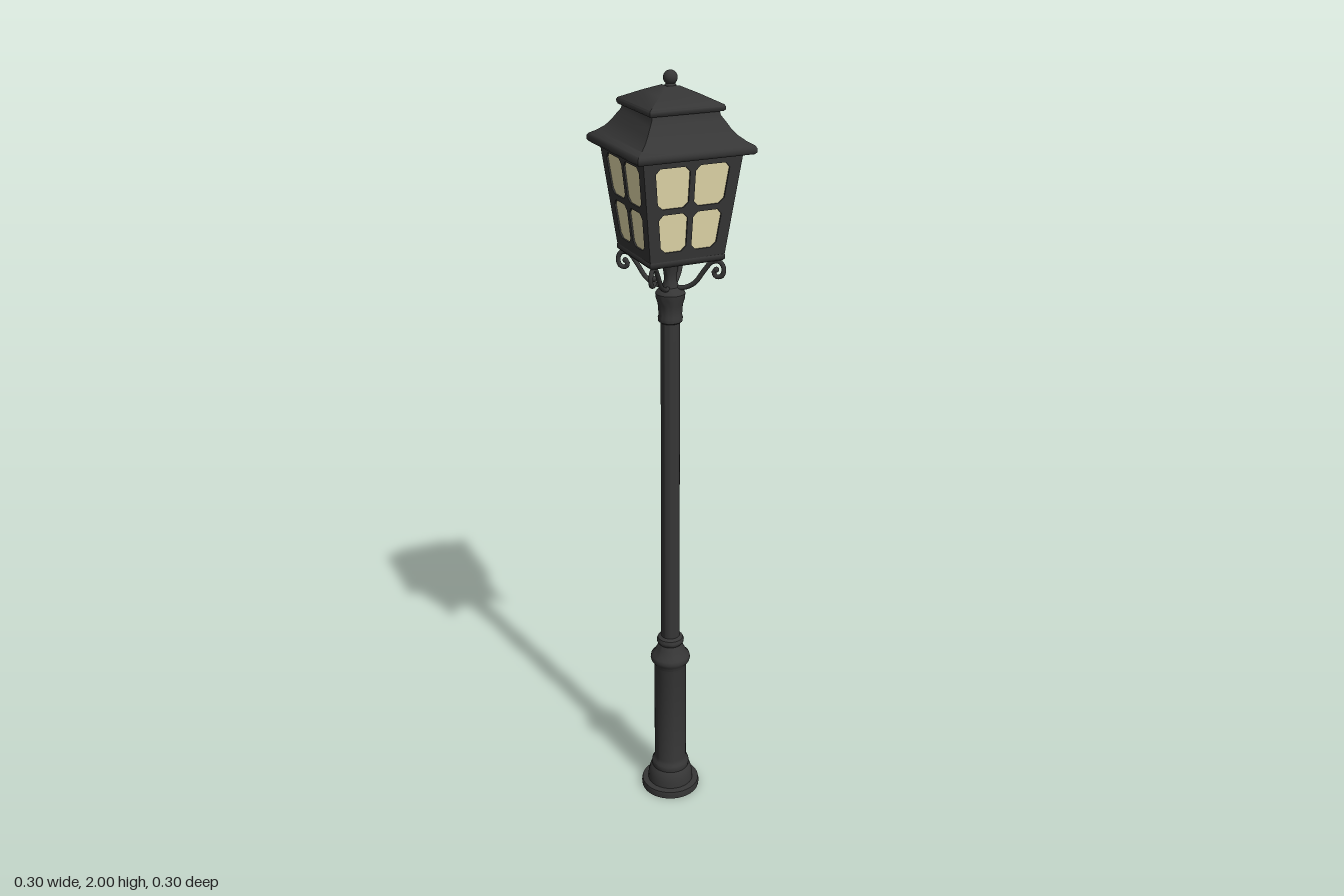
import * as THREE from 'three';
import { toCreasedNormals } from 'three/addons/utils/BufferGeometryUtils.js';

const iron = new THREE.MeshStandardMaterial({ color: 0x363636 });
iron.name = 'dark iron';
const amber = new THREE.MeshStandardMaterial({ color: 0xebe1b0, side: THREE.DoubleSide });
amber.name = 'pale amber glass';

const Y0 = 1.57, Y1 = 1.83;                 // lantern body, bottom and top
const half = (y) => 0.096 + (y - Y0) * 0.12; // lantern half-width at a height

function add(parent, name, geometry, material = iron) {
  const mesh = new THREE.Mesh(geometry, material);
  mesh.name = name;
  parent.add(mesh);
  return mesh;
}

// Turned part from [radius, y] pairs, listed bottom to top
function turned(profile, segments = 32) {
  const points = profile.map(([r, y]) => new THREE.Vector2(r, y));
  return toCreasedNormals(new THREE.LatheGeometry(points, segments), 0.6);
}

// Square part from [half-width, y] pairs
function square(profile) {
  const g = new THREE.LatheGeometry(profile.map(([w, y]) => new THREE.Vector2(w * Math.SQRT2, y)), 4);
  g.rotateY(Math.PI / 4);
  return toCreasedNormals(g, 0.8);
}

// Leans an upright plate onto the sloping lantern side
function lean(geometry, inset) {
  const p = geometry.attributes.position;
  for (let i = 0; i < p.count; i++) p.setZ(i, p.getZ(i) + half(p.getY(i)) - inset);
  geometry.computeVertexNormals();
  return geometry;
}

const polygon = (points) => new THREE.Shape(points.map(([x, y]) => new THREE.Vector2(x, y)));

// Bar between two heights; left and right give x at a height
const bar = (ya, yb, left, right) =>
  polygon([[left(ya), ya], [right(ya), ya], [right(yb), yb], [left(yb), yb]]);

// Stiles, rails and cross bars of one window, with small corner fillets
function windowBars() {
  const outer = half, inner = (y) => half(y) - 0.029;
  const minus = (f) => (y) => -f(y);
  const mid = () => 0.007;
  const bars = [
    bar(Y0, Y1, inner, outer), bar(Y0, Y1, minus(outer), minus(inner)),
    bar(Y0, 1.601, minus(inner), inner), bar(1.805, Y1, minus(inner), inner),
    bar(1.601, 1.805, minus(mid), mid), bar(1.694, 1.708, minus(inner), inner),
  ];
  const f = 0.012;
  for (const s of [-1, 1]) {
    for (const [y, up] of [[1.601, 1], [1.694, -1], [1.708, 1], [1.805, -1]]) {
      const yf = y + up * f;
      bars.push(polygon([[s * inner(y), y], [s * (inner(y) - f), y], [s * inner(yf), yf]]));
      bars.push(polygon([[s * mid(), y], [s * (mid() + f), y], [s * mid(), yf]]));
    }
  }
  return bars;
}

export function createModel() {
  const model = new THREE.Group();
  model.name = 'streetLamp';

  // Stepped foot and thick lower column
  add(model, 'base', turned([
    [0, 0], [0.08, 0], [0.081, 0.01], [0.079, 0.02], [0.063, 0.022], [0.062, 0.04], [0.057, 0.06],
    [0.051, 0.068], [0.052, 0.076], [0.051, 0.084], [0.046, 0.09], [0.044, 0.1], [0.044, 0.4],
    [0.046, 0.408], [0.052, 0.416], [0.054, 0.424], [0.052, 0.433], [0.045, 0.44], [0.037, 0.455],
    [0.031, 0.468], [0.036, 0.474], [0.037, 0.481], [0.034, 0.488], [0.025, 0.493],
  ]));
  add(model, 'pole', turned([[0.025, 0.48], [0.024, 1.42]]));

  // Collar and flared stem under the lantern
  add(model, 'collar', turned([
    [0.024, 1.392], [0.03, 1.396], [0.031, 1.406], [0.029, 1.412], [0.031, 1.44], [0.036, 1.456],
    [0.037, 1.468], [0.032, 1.476], [0.021, 1.484], [0.016, 1.5], [0.016, 1.515], [0.02, 1.54],
    [0.026, 1.56], [0.026, 1.58],
  ]));

  // Four scroll brackets on the diagonals
  const bracketCurve = new THREE.CatmullRomCurve3([
    [0.015, 1.482], [0.04, 1.486], [0.063, 1.5], [0.088, 1.535], [0.106, 1.556], [0.126, 1.558],
    [0.136, 1.542], [0.131, 1.524], [0.117, 1.521], [0.111, 1.531], [0.117, 1.538],
  ].map(([r, y]) => new THREE.Vector3(r, y, 0)));
  for (let i = 0; i < 4; i++) {
    const bracket = new THREE.Group();
    bracket.name = 'scrollBracket';
    bracket.rotation.y = Math.PI / 4 + i * Math.PI / 2;
    add(bracket, 'scroll', new THREE.TubeGeometry(bracketCurve, 48, 0.006, 8));
    add(bracket, 'scrollTip', new THREE.SphereGeometry(0.007, 12, 8)).position.set(0.117, 1.538, 0);
    model.add(bracket);
  }

  // Lantern floor and four windowed sides
  add(model, 'lanternFloor', square([[0, 1.563], [0.093, 1.563], [0.098, 1.568], [0.098, 1.578], [0.094, 1.583], [0, 1.583]]));
  for (let i = 0; i < 4; i++) {
    const side = new THREE.Group();
    side.name = 'lanternSide';
    side.rotation.y = i * Math.PI / 2;
    add(side, 'windowFrame', lean(new THREE.ExtrudeGeometry(windowBars(), { depth: 0.012, bevelEnabled: false }), 0.012));
    const edge = (y) => half(y) - 0.018;
    add(side, 'glass', lean(new THREE.ShapeGeometry(bar(1.59, 1.815, (y) => -edge(y), edge)), 0.004), amber);
    model.add(side);
  }

  // Flared roof, raised cap and finial
  add(model, 'roof', square([
    [0, 1.822], [0.146, 1.822], [0.15, 1.827], [0.15, 1.836], [0.146, 1.842], [0.132, 1.85],
    [0.116, 1.863], [0.104, 1.878], [0.095, 1.893], [0.087, 1.905], [0.084, 1.92],
  ]));
  add(model, 'roofCap', square([
    [0.08, 1.914], [0.092, 1.915], [0.095, 1.919], [0.095, 1.926], [0.093, 1.93], [0.05, 1.951], [0.015, 1.966],
  ]));
  add(model, 'finialNeck', turned([[0.019, 1.955], [0.013, 1.967], [0.008, 1.975]], 20));
  add(model, 'finialBall', new THREE.SphereGeometry(0.017, 20, 14)).position.y = 1.983;

  return model;
}
